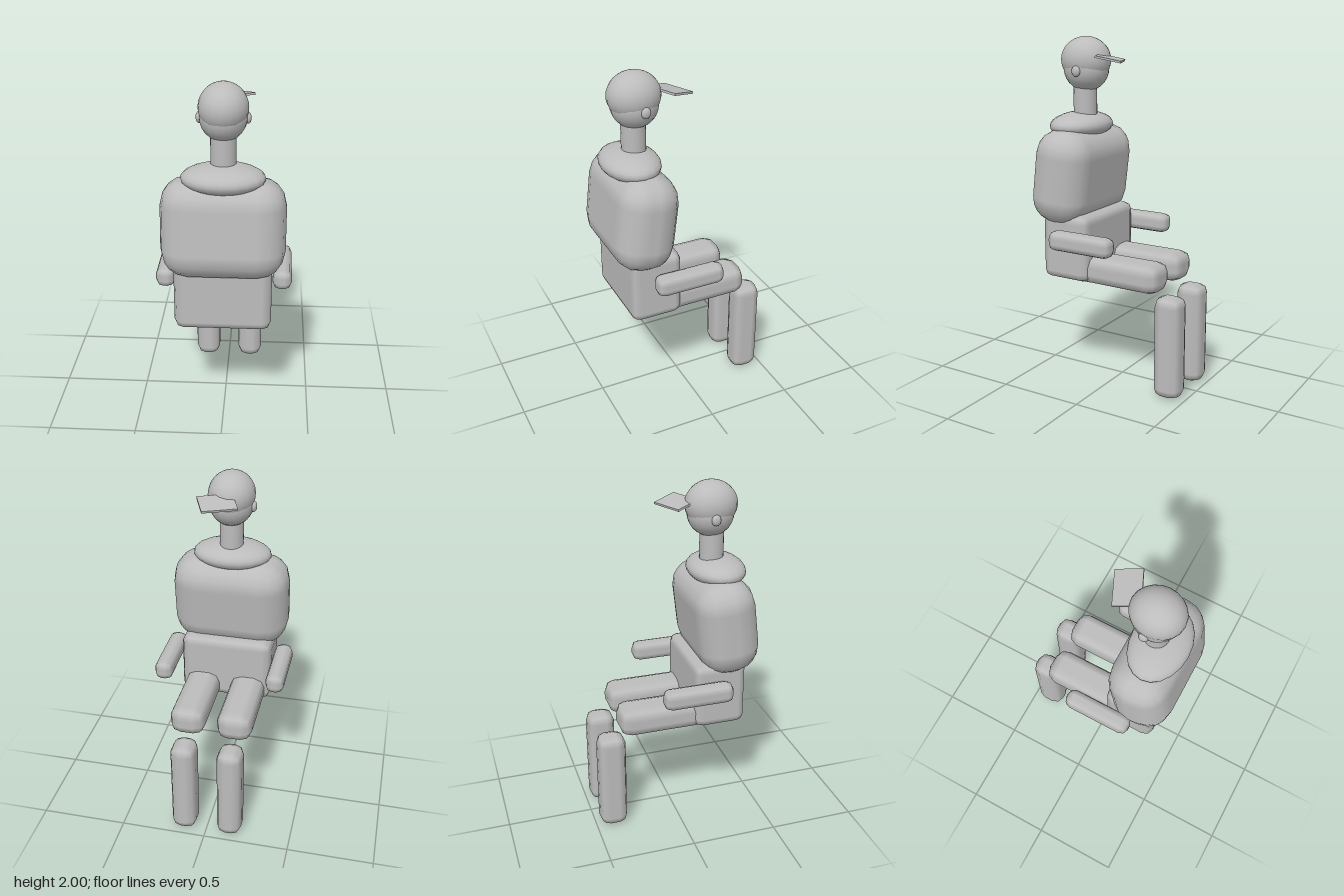
import * as THREE from 'three';
import { RoundedBoxGeometry } from 'three/addons/geometries/RoundedBoxGeometry.js';

export function createModel() {
  const group = new THREE.Group();
  group.name = 'seatedFigure';

  const grey = new THREE.MeshStandardMaterial({ color: 0xbcbcbc });
  grey.name = 'plain grey';

  const add = (name, geometry, x, y, z) => {
    const mesh = new THREE.Mesh(geometry, grey);
    mesh.name = name;
    mesh.position.set(x, y, z);
    group.add(mesh);
    return mesh;
  };
  const box = (w, h, d, segments, r) => new RoundedBoxGeometry(w, h, d, segments, r);
  const ellipsoid = (rx, ry, rz, w = 20, h = 14, theta = Math.PI) =>
    new THREE.SphereGeometry(1, w, h, 0, Math.PI * 2, 0, theta).scale(rx, ry, rz);

  // Limbs and ears, mirrored; the figure sits facing -z
  for (const [side, s] of [['left', 1], ['right', -1]]) {
    add(side + 'LowerLeg', box(0.148, 0.6, 0.165, 1, 0.055), s * 0.136, 0.3, -0.3925);
    add(side + 'Thigh', box(0.205, 0.17, 0.545, 1, 0.064), s * 0.137, 0.69, -0.075);
    add(side + 'Forearm', box(0.107, 0.115, 0.405, 1, 0.042), s * 0.328, 0.879, 0.072);
    add(side + 'Ear', ellipsoid(0.018, 0.031, 0.027, 12, 8), s * 0.127, 1.81, 0.228);
  }

  // Body
  add('hips', box(0.54, 0.39, 0.305, 1, 0.05), 0, 0.815, 0.233);
  const jacket = add('jacket', box(0.68, 0.555, 0.35, 2, 0.155), 0, 1.215, 0.277);
  jacket.rotation.x = -0.12;
  add('collar', ellipsoid(0.227, 0.078, 0.162), 0, 1.496, 0.277);
  add('neck', new THREE.CylinderGeometry(0.068, 0.068, 0.24, 20), 0, 1.63, 0.25);

  // Head with a close-fitting cap and a brim turned to one side
  add('face', ellipsoid(0.127, 0.13, 0.132), 0, 1.82, 0.24);
  add('cap', ellipsoid(0.132, 0.132, 0.148, 20, 12, Math.PI * 0.65), 0, 1.868, 0.242);
  const brim = add('capBrim', new THREE.BoxGeometry(0.197, 0.012, 0.146), 0.041, 1.882, 0.055);
  brim.rotation.set(-0.2, 0.418, 0, 'YXZ');

  return group;
}
